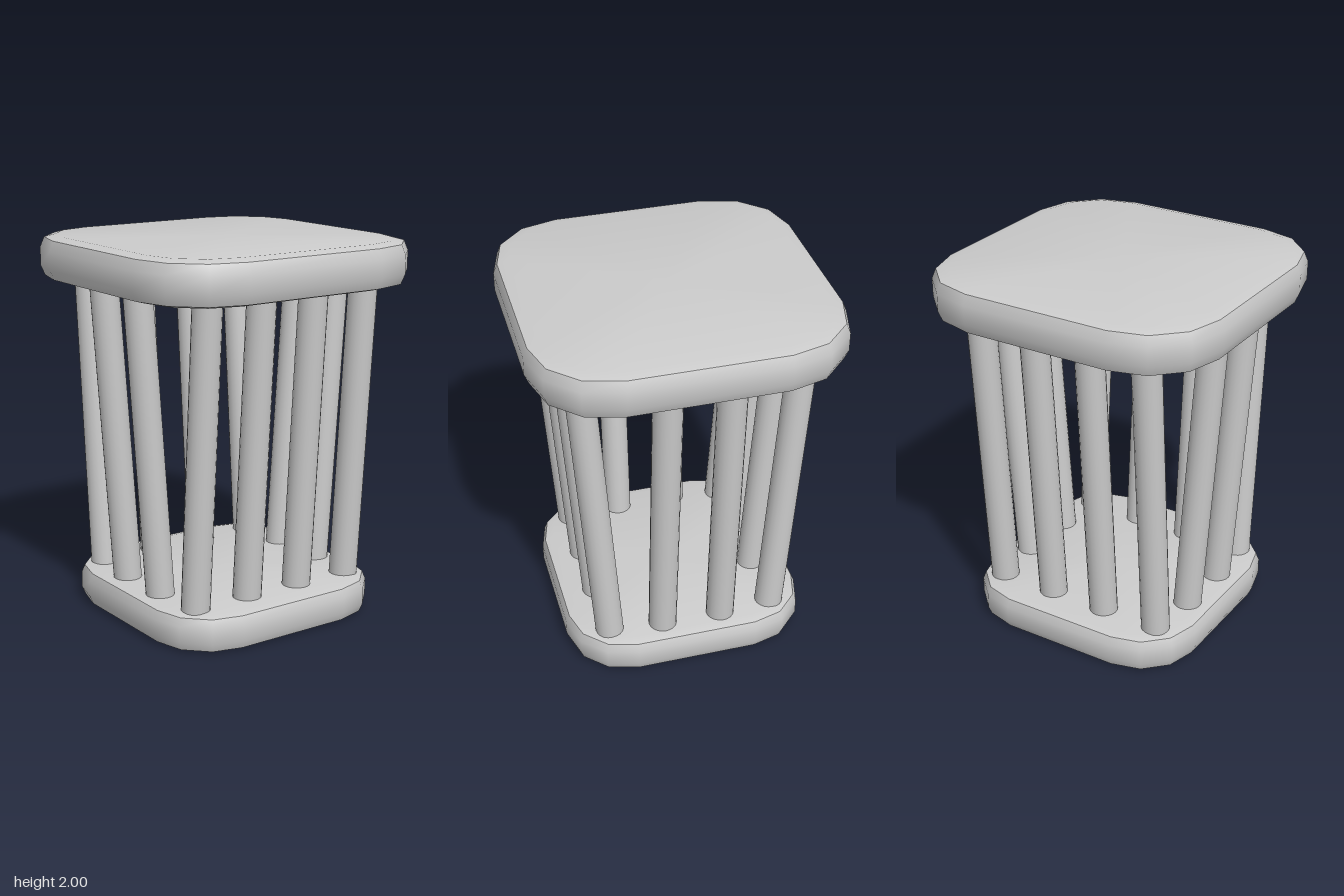
import * as THREE from 'three';
import { toCreasedNormals } from 'three/addons/utils/BufferGeometryUtils.js';

const material = new THREE.MeshStandardMaterial({ color: 0xcccccc });

// Square plate with rounded corners and softly bevelled rims, from stacked outlines.
function makePlate(name, half, radius, sections) {
  const perCorner = 4, count = perCorner * 4;
  const positions = [], indices = [];
  const core = half - radius;
  for (const [inset, y] of sections) {
    for (let corner = 0; corner < 4; corner++) {
      const mid = (corner + 0.5) * Math.PI / 2;
      const cx = Math.sign(Math.cos(mid)) * core, cz = Math.sign(Math.sin(mid)) * core;
      for (let i = 0; i < perCorner; i++) {
        const a = (corner + i / (perCorner - 1)) * Math.PI / 2;
        const r = radius - inset;
        positions.push(cx + r * Math.cos(a), y, cz + r * Math.sin(a));
      }
    }
  }
  // Walls between outlines
  for (let s = 0; s < sections.length - 1; s++) {
    for (let i = 0; i < count; i++) {
      const a = s * count + i, b = s * count + (i + 1) % count;
      indices.push(a, a + count, b, b, a + count, b + count);
    }
  }
  // Flat bottom and top
  const bottom = positions.length / 3, top = bottom + 1;
  const last = (sections.length - 1) * count;
  positions.push(0, sections[0][1], 0, 0, sections[sections.length - 1][1], 0);
  for (let i = 0; i < count; i++) {
    const j = (i + 1) % count;
    indices.push(bottom, i, j, top, last + j, last + i);
  }
  const geometry = new THREE.BufferGeometry();
  geometry.setAttribute('position', new THREE.Float32BufferAttribute(positions, 3));
  geometry.setIndex(indices);
  const mesh = new THREE.Mesh(toCreasedNormals(geometry, 0.65), material);
  mesh.name = name;
  return mesh;
}

// Round bar between two points
function makeBar(name, from, to) {
  const direction = to.clone().sub(from);
  const mesh = new THREE.Mesh(new THREE.CylinderGeometry(0.075, 0.075, direction.length(), 20), material);
  mesh.position.copy(from).add(to).multiplyScalar(0.5);
  mesh.quaternion.setFromUnitVectors(new THREE.Vector3(0, 1, 0), direction.normalize());
  mesh.name = name;
  return mesh;
}

export function createModel() {
  const model = new THREE.Group();
  model.name = 'barredCage';

  // Plates
  model.add(makePlate('basePlate', 0.65, 0.327, [
    [0.065, 0], [0.018, 0.012], [0, 0.055], [0, 0.14], [0.018, 0.183], [0.065, 0.195],
  ]));
  model.add(makePlate('topPlate', 0.797, 0.4, [
    [0.08, 1.77], [0.022, 1.785], [0, 1.837], [0, 1.933], [0.022, 1.985], [0.08, 2],
  ]));

  // Bars lean outward: four on each side, two on the front and back
  const bars = new THREE.Group();
  bars.name = 'bars';
  const y0 = 0.185, y1 = 1.785;
  for (const side of [1, -1]) {
    for (const z of [-0.48, -0.16, 0.16, 0.48]) {
      bars.add(makeBar(side > 0 ? 'leftBar' : 'rightBar',
        new THREE.Vector3(side * 0.445, y0, z), new THREE.Vector3(side * 0.558, y1, z)));
    }
    for (const x of [-0.16, 0.16]) {
      bars.add(makeBar(side > 0 ? 'frontBar' : 'backBar',
        new THREE.Vector3(x, y0, side * 0.508), new THREE.Vector3(x, y1, side * 0.62)));
    }
  }
  model.add(bars);
  return model;
}
